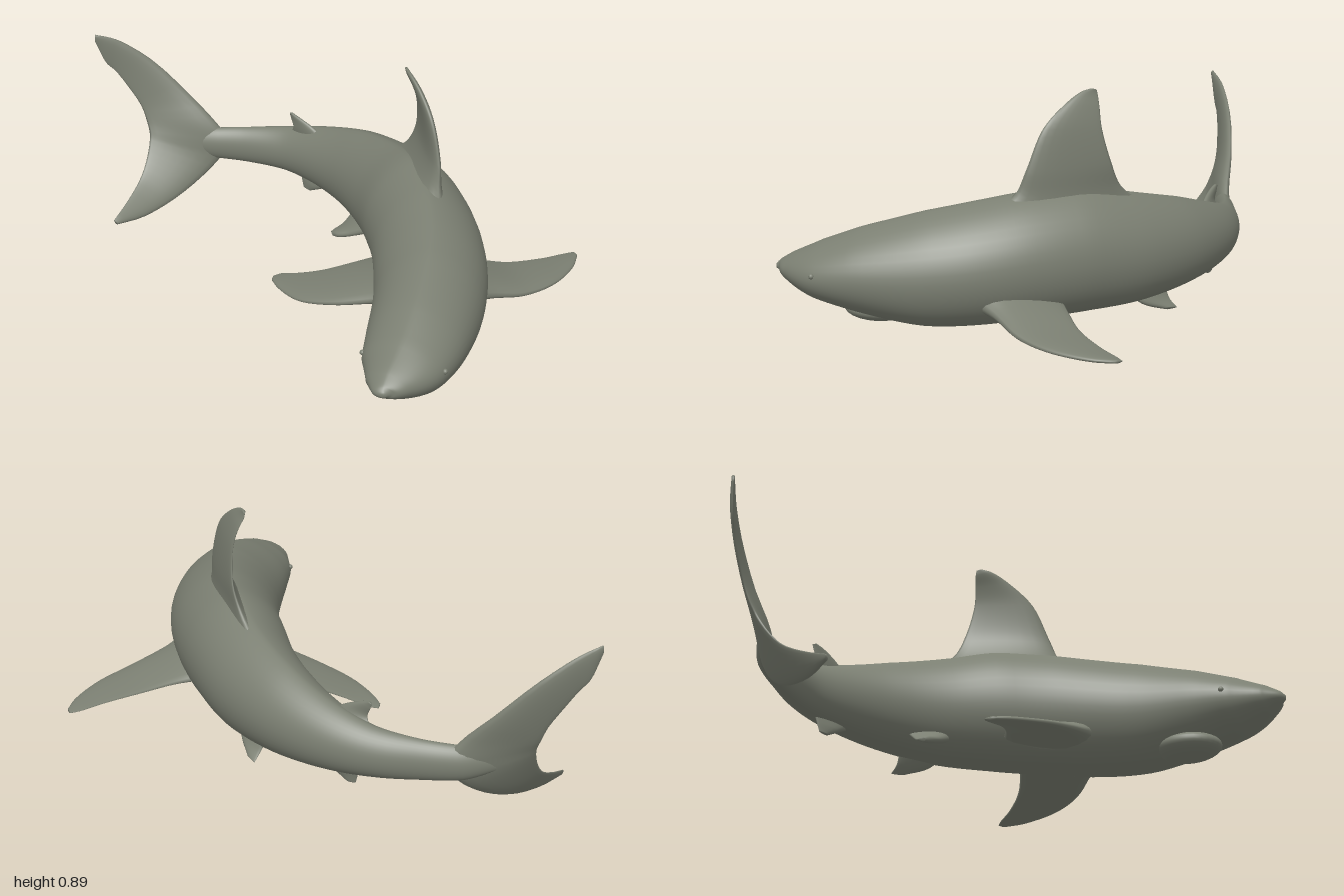
import * as THREE from 'three';

const V = (x, y, z) => new THREE.Vector3(x, y, z);

// Skin a list of closed rings into a smooth solid with capped ends
function loft(rings) {
  const n = rings[0].length, m = rings.length;
  const pos = [], idx = [];
  rings.forEach(r => r.forEach(p => pos.push(p.x, p.y, p.z)));
  for (let i = 0; i < m - 1; i++) {
    for (let j = 0; j < n; j++) {
      const a = i * n + j, b = i * n + (j + 1) % n;
      idx.push(a, b, a + n, b, b + n, a + n);
    }
  }
  [0, m - 1].forEach(i => {
    const c = rings[i].reduce((s, p) => s.add(p), V(0, 0, 0)).divideScalar(n);
    const k = pos.length / 3;
    pos.push(c.x, c.y, c.z);
    for (let j = 0; j < n; j++) {
      const a = i * n + j, b = i * n + (j + 1) % n;
      if (i === 0) idx.push(k, b, a); else idx.push(k, a, b);
    }
  });
  // Turn all faces outward if the enclosed volume is negative
  const at = i => V(pos[3 * i], pos[3 * i + 1], pos[3 * i + 2]);
  let vol = 0;
  for (let i = 0; i < idx.length; i += 3) vol += at(idx[i]).dot(at(idx[i + 1]).cross(at(idx[i + 2])));
  if (vol < 0) idx.reverse();
  const g = new THREE.BufferGeometry();
  g.setAttribute('position', new THREE.Float32BufferAttribute(pos, 3));
  g.setIndex(idx);
  g.computeVertexNormals();
  return g;
}

// Body stations from snout to tail: x, z, half width, top, bottom
const BODY = [
  [-0.09, 0.998, 0.008, 0.258, 0.242], [-0.085, 0.98, 0.042, 0.276, 0.226],
  [-0.06, 0.94, 0.085, 0.306, 0.198], [0.005, 0.85, 0.15, 0.36, 0.15],
  [0.08, 0.72, 0.18, 0.418, 0.11], [0.17, 0.51, 0.2, 0.482, 0.065],
  [0.215, 0.34, 0.207, 0.515, 0.065], [0.235, 0.16, 0.202, 0.54, 0.075],
  [0.228, -0.03, 0.192, 0.545, 0.08], [0.194, -0.247, 0.17, 0.5, 0.085],
  [0.112, -0.463, 0.138, 0.443, 0.105], [-0.005, -0.634, 0.102, 0.378, 0.125],
  [-0.13, -0.747, 0.069, 0.33, 0.14], [-0.285, -0.822, 0.046, 0.302, 0.15],
  [-0.42, -0.866, 0.038, 0.288, 0.158], [-0.56, -0.889, 0.006, 0.25, 0.2],
];
const spine = new THREE.CatmullRomCurve3(BODY.map(b => V(b[0], 0, b[1])));
const sizes = new THREE.CatmullRomCurve3(BODY.map(b => V(b[2], b[3], b[4])));

// Point on the skin: t runs snout to tail, a is the angle up from the +x side
function skin(t, a) {
  const c = spine.getPoint(t), d = spine.getTangent(t), s = sizes.getPoint(t);
  const side = V(-d.z, 0, d.x).normalize();
  const mid = s.z + 0.47 * (s.y - s.z);
  const co = Math.cos(a), si = Math.sin(a);
  // Narrow, ridged back over a fuller belly
  const w = Math.max(s.x, 0.004) * Math.sign(co) * Math.pow(Math.abs(co), si > 0 ? 1.3 : 0.9);
  const h = si > 0 ? (s.y - mid) * si : (mid - s.z) * si;
  return V(c.x + side.x * w, mid + h, c.z + side.z * w);
}

function bodyGeometry() {
  const rings = [];
  for (let i = 0; i <= 90; i++) {
    rings.push(Array.from({ length: 44 }, (_, j) => skin(i / 90, j / 44 * Math.PI * 2)));
  }
  return loft(rings);
}

// Fin skinned along stations: [leading point, trailing point, thickness]
function finGeometry(stations, steps = 30) {
  const lead = new THREE.CatmullRomCurve3(stations.map(s => V(...s[0])));
  const trail = new THREE.CatmullRomCurve3(stations.map(s => V(...s[1])));
  const thick = new THREE.CatmullRomCurve3(stations.map((s, i) => V(s[2], i * 0.1, 0)));
  const mid = t => lead.getPoint(t).add(trail.getPoint(t)).multiplyScalar(0.5);
  const rings = [];
  for (let i = 0; i <= steps; i++) {
    const t = i / steps;
    const L = lead.getPoint(t), T = trail.getPoint(t);
    const span = mid(Math.min(1, t + 0.03)).sub(mid(Math.max(0, t - 0.03)));
    const normal = T.clone().sub(L).cross(span).normalize();
    const th = Math.max(thick.getPoint(t).x, 0.004) / 2;
    rings.push(Array.from({ length: 20 }, (_, j) => {
      const a = j / 20 * Math.PI * 2;
      const s = (1 - Math.cos(a)) / 2;
      return L.clone().lerp(T, s).addScaledVector(normal, th * Math.sin(a) * (1.25 - 0.7 * s));
    }));
  }
  return loft(rings);
}

const FINS = {
  dorsalFin: [
    [[0.26, 0.47, 0.3], [0.205, 0.45, -0.31], 0.14],
    [[0.268, 0.54, 0.205], [0.24, 0.535, -0.205], 0.075],
    [[0.278, 0.63, 0.165], [0.262, 0.63, -0.16], 0.042],
    [[0.265, 0.77, 0.1], [0.255, 0.76, -0.125], 0.032],
    [[0.24, 0.85, 0.01], [0.235, 0.83, -0.123], 0.024],
    [[0.218, 0.888, -0.06], [0.214, 0.872, -0.123], 0.016],
    [[0.211, 0.896, -0.1], [0.21, 0.89, -0.12], 0.01],
  ],
  tailFin: [
    [[-0.835, 0.014, -0.648], [-0.848, 0.032, -0.652], 0.016],
    [[-0.73, 0.004, -0.7], [-0.79, 0.066, -0.72], 0.028],
    [[-0.61, 0.025, -0.765], [-0.725, 0.12, -0.8], 0.034],
    [[-0.5, 0.075, -0.815], [-0.69, 0.18, -0.85], 0.042],
    [[-0.4, 0.15, -0.85], [-0.67, 0.245, -0.89], 0.05],
    [[-0.35, 0.225, -0.855], [-0.668, 0.275, -0.905], 0.055],
    [[-0.4, 0.305, -0.872], [-0.675, 0.315, -0.925], 0.05],
    [[-0.5, 0.42, -0.925], [-0.692, 0.375, -0.945], 0.038],
    [[-0.635, 0.56, -0.972], [-0.735, 0.45, -0.965], 0.03],
    [[-0.75, 0.645, -0.988], [-0.785, 0.525, -0.98], 0.024],
    [[-0.8, 0.67, -0.988], [-0.818, 0.56, -0.983], 0.02],
    [[-0.855, 0.688, -0.985], [-0.858, 0.66, -0.984], 0.012],
  ],
  leftPectoralFin: [
    [[0.33, 0.19, 0.4], [0.33, 0.16, 0.05], 0.13],
    [[0.44, 0.158, 0.34], [0.45, 0.142, 0.06], 0.07],
    [[0.585, 0.117, 0.293], [0.57, 0.117, 0.06], 0.042],
    [[0.72, 0.1, 0.215], [0.72, 0.1, 0.033], 0.028],
    [[0.82, 0.092, 0.105], [0.81, 0.092, 0.005], 0.02],
    [[0.857, 0.09, 0.03], [0.85, 0.09, -0.002], 0.012],
  ],
  rightPectoralFin: [
    [[0.11, 0.18, 0.34], [0.11, 0.15, -0.02], 0.12],
    [[0.02, 0.15, 0.285], [0.01, 0.135, -0.02], 0.066],
    [[-0.125, 0.105, 0.205], [-0.12, 0.1, -0.04], 0.042],
    [[-0.235, 0.073, 0.11], [-0.205, 0.075, -0.075], 0.028],
    [[-0.292, 0.058, -0.01], [-0.265, 0.06, -0.106], 0.02],
    [[-0.305, 0.052, -0.075], [-0.292, 0.053, -0.106], 0.012],
  ],
  leftPelvicFin: [
    [[0.24, 0.13, -0.23], [0.18, 0.13, -0.4], 0.05],
    [[0.255, 0.085, -0.29], [0.21, 0.08, -0.41], 0.03],
    [[0.25, 0.055, -0.38], [0.235, 0.052, -0.43], 0.014],
  ],
  rightPelvicFin: [
    [[0.1, 0.14, -0.21], [0.06, 0.14, -0.37], 0.05],
    [[0.035, 0.108, -0.25], [0.02, 0.105, -0.35], 0.034],
    [[-0.015, 0.088, -0.285], [-0.018, 0.085, -0.342], 0.026],
    [[-0.031, 0.08, -0.31], [-0.031, 0.08, -0.335], 0.014],
  ],
  secondDorsalFin: [
    [[0.0, 0.335, -0.6], [-0.125, 0.3, -0.745], 0.04],
    [[-0.05, 0.375, -0.645], [-0.115, 0.35, -0.71], 0.024],
    [[-0.095, 0.4, -0.685], [-0.122, 0.385, -0.72], 0.016],
    [[-0.118, 0.41, -0.71], [-0.126, 0.405, -0.725], 0.01],
  ],
  analFin: [
    [[0.04, 0.145, -0.57], [-0.09, 0.165, -0.715], 0.04],
    [[-0.02, 0.105, -0.62], [-0.085, 0.115, -0.7], 0.026],
    [[-0.055, 0.078, -0.66], [-0.08, 0.082, -0.69], 0.012],
  ],
};

export function createModel() {
  const shark = new THREE.Group();
  shark.name = 'shark';
  const skinGrey = new THREE.MeshStandardMaterial({ color: 0x7b7f72 });
  skinGrey.name = 'skinGrey';
  const add = (name, geometry) => {
    const mesh = new THREE.Mesh(geometry, skinGrey);
    mesh.name = name;
    shark.add(mesh);
    return mesh;
  };

  add('body', bodyGeometry());
  for (const [name, stations] of Object.entries(FINS)) add(name, finGeometry(stations));

  // Lower jaw under the snout, turned along the heading
  const jaw = add('lowerJaw', new THREE.SphereGeometry(1, 28, 18));
  jaw.scale.set(0.105, 0.047, 0.13);
  jaw.position.set(0.075, 0.113, 0.655);
  jaw.rotation.y = -0.46;

  // Eyes, mostly sunk into the head
  for (const [name, angle] of [['leftEye', 0.15], ['rightEye', Math.PI - 0.15]]) {
    const eye = add(name, new THREE.SphereGeometry(0.01, 14, 10));
    eye.position.copy(skin(3.1 / 15, angle));
  }
  return shark;
}
